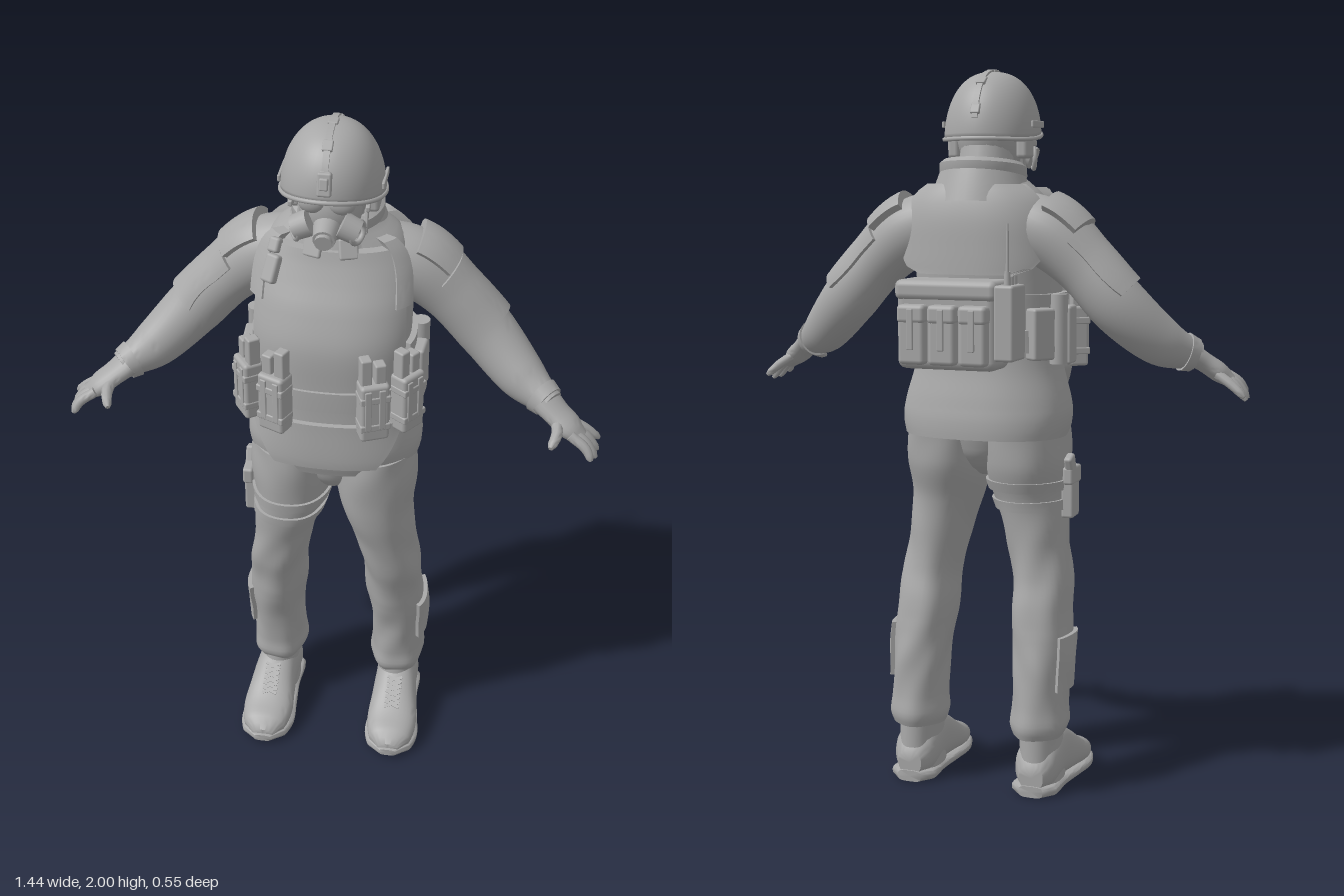
import * as THREE from 'three';
import { toCreasedNormals } from 'three/addons/utils/BufferGeometryUtils.js';
import { RoundedBoxGeometry } from 'three/addons/geometries/RoundedBoxGeometry.js';

const V = (x, y, z) => new THREE.Vector3(x, y, z);
const sp = (s, p) => Math.sign(s) * Math.abs(s) ** p;

// Smooth lookup in a table of rows whose first column is the key
function lookup(rows, k) {
  let i = 0;
  while (i < rows.length - 2 && k > rows[i + 1][0]) i++;
  const at = j => rows[Math.min(Math.max(j, 0), rows.length - 1)];
  const t = (k - at(i)[0]) / (at(i + 1)[0] - at(i)[0]);
  return at(i).map((b, c) => {
    const a = at(i - 1)[c], d = at(i + 1)[c], e = at(i + 2)[c];
    return b + 0.5 * t * (d - a + t * (2 * a - 5 * b + 4 * d - e + t * (3 * (b - d) + e - a)));
  });
}

// Body surface from rows [y, centreX, halfWidth, frontZ, backZ]; angle 0 is the front
const body = (rows, p = 0.85, wrinkle = 0) => (a, y, off = 0) => {
  const [, cx, hx, zf, zb] = lookup(rows, y);
  const o = off + wrinkle * (Math.sin(y * 24 + 3 * a) * Math.sin(y * 11 - 2 * a) + 0.6 * Math.sin(5 * a + 4 * Math.sin(y * 9)));
  return V(cx + (hx + o) * sp(Math.sin(a), p), y, (zf + zb) / 2 + ((zf - zb) / 2 + o) * sp(Math.cos(a), p));
};

// Limb surface along a curve with rows [t, radius]; angle 0 is the upper side
const limb = (pts, rows, wide = 1) => {
  const curve = new THREE.CatmullRomCurve3(pts.map(p => V(...p)));
  return (a, t, off = 0) => {
    const T = curve.getTangent(t), N = V(0, 1, 0).addScaledVector(T, -T.y).normalize(), B = T.clone().cross(N);
    const r = lookup(rows, t)[1] + off;
    return curve.getPoint(t).addScaledVector(N, r * Math.cos(a)).addScaledVector(B, wide * r * Math.sin(a));
  };
};

// Indexed grid from fn(i, j)
function grid(nu, nv, fn, wrap) {
  const pos = [], idx = [], w = wrap ? nu : nu + 1;
  for (let j = 0; j <= nv; j++) for (let i = 0; i < w; i++) pos.push(...fn(i, j).toArray());
  for (let j = 0; j < nv; j++) for (let i = 0; i < nu; i++) {
    const a = j * w + i, b = j * w + (i + 1) % w;
    idx.push(a, b, b + w, a, b + w, a + w);
  }
  const g = new THREE.BufferGeometry();
  g.setAttribute('position', new THREE.Float32BufferAttribute(pos, 3));
  g.setIndex(idx);
  g.computeVertexNormals();
  return g;
}

// Closed solid: rings with a cap at each end
function solid(S, v0, v1, nv = 24, nu = 32) {
  return toCreasedNormals(grid(nu, nv + 2, (i, j) => {
    const v = v0 + (v1 - v0) * Math.min(Math.max(j - 1, 0), nv) / nv;
    if (j > 0 && j < nv + 2) return S(i / nu * Math.PI * 2, v);
    return S(0, v).add(S(Math.PI, v)).multiplyScalar(0.5);
  }, true), 0.9);
}

// Raised plate on a surface, its rim folded back onto it
function shell(S, mid, half, v0, v1, off, nu = 20, nv = 10) {
  return toCreasedNormals(grid(nu + 2, nv + 2, (i, j) => {
    const t = Math.min(Math.max(j - 1, 0), nv) / nv, u = Math.min(Math.max(i - 1, 0), nu) / nu * 2 - 1;
    const rim = i === 0 || j === 0 || i === nu + 2 || j === nv + 2;
    return S(mid + u * (half.call ? half(t) : half), v0 + (v1 - v0) * t, rim ? -0.005 : off);
  }), 0.7);
}

function mirrored(geo) {
  const g = geo.clone().applyMatrix4(new THREE.Matrix4().makeScale(-1, 1, 1));
  const n = g.attributes.position.count;
  const src = g.index ? Array.from(g.index.array) : Array.from({ length: n }, (_, i) => i);
  for (let i = 0; i < src.length; i += 3) [src[i], src[i + 1]] = [src[i + 1], src[i]];
  g.setIndex(src);
  return g;
}

const box = (w, h, d, x, y, z, ry = 0, rx = 0, r = 0.008) =>
  new RoundedBoxGeometry(w, h, d, 2, Math.min(r, w / 3, h / 3, d / 3)).rotateX(rx).rotateY(ry).translate(x, y, z);
const ball = (rx, ry, rz, x, y, z) => new THREE.SphereGeometry(1, 28, 18).scale(rx, ry, rz).translate(x, y, z);
const cyl = (r0, r1, h, x, y, z, rx = 0, rz = 0) =>
  new THREE.CylinderGeometry(r0, r1, h, 20).rotateX(rx).rotateZ(rz).translate(x, y, z);

export function createModel() {
  const model = new THREE.Group();
  const grey = new THREE.MeshStandardMaterial({ color: 0xa8a8a8 });
  grey.name = 'plain grey';
  const add = (name, geo) => {
    const m = new THREE.Mesh(geo, grey);
    m.name = name;
    model.add(m);
  };
  const pair = (name, geo) => { add(name + 'Left', geo); add(name + 'Right', mirrored(geo)); };

  // Jacket, belts and body armour
  const torso = body([[1, 0, 0.229, 0.188, -0.143], [1.03, 0, 0.237, 0.198, -0.143], [1.08, 0, 0.237, 0.205, -0.136],
    [1.2, 0, 0.207, 0.2, -0.115], [1.3, 0, 0.2, 0.2, -0.11], [1.42, 0, 0.203, 0.197, -0.115], [1.52, 0, 0.203, 0.164, -0.12],
    [1.6, 0, 0.195, 0.124, -0.122], [1.66, 0, 0.168, 0.1, -0.114], [1.72, 0, 0.1, 0.09, -0.095]]);
  add('jacket', solid(torso, 1, 1.72, 48, 48));
  add('frontPlate', shell(torso, 0, t => 1.06 - 0.14 * t * t, 1.19, 1.66, 0.025, 24, 24));
  add('backPlate', shell((a, y, o) => torso(a, y, o + (o > 0 ? (1.69 - y) * 0.11 : 0)), Math.PI,
    t => 0.5 + 0.65 * Math.min(1, t * 2.2) ** 0.5, 1.45, 1.69, 0.022, 24, 14));
  add('groinFlap', shell(torso, 0, t => 0.45 + 0.4 * Math.min(1, t * 1.2), 1.062, 1.2, 0.04));
  add('belt', shell(torso, Math.PI, Math.PI, 1.24, 1.3, 0.033, 56, 4));
  add('upperWebbing', shell(torso, Math.PI, 1.9, 1.345, 1.395, 0.016, 36, 4));
  pair('vestStrap', shell(torso, 0.95, 0.16, 1.52, 1.68, 0.03, 6));

  // Arms, shoulder plates, gloves
  const arm = limb([[0.1, 1.59, -0.03], [0.2, 1.555, -0.035], [0.3, 1.472, -0.035], [0.4, 1.364, -0.027],
    [0.5, 1.27, 0.027], [0.58, 1.23, 0.086]], [[0, 0.088], [0.2, 0.093], [0.4, 0.08], [0.6, 0.079], [0.8, 0.066], [1, 0.04]], 0.95);
  pair('sleeve', solid(arm, 0, 1, 36));
  pair('upperArmPlate', shell(arm, 0, 1.2, 0.31, 0.57, 0.012));
  pair('shoulderCap', shell(arm, 0, 0.85, 0.16, 0.3, 0.022));
  pair('cuff', shell(arm, Math.PI, Math.PI, 0.93, 0.985, 0.006, 28, 3));
  const digit = (pts, r) => solid(limb(pts, [[0, r], [0.5, r * 0.95], [0.9, r * 0.75], [1, r * 0.4]]), 0, 1, 8, 10);
  pair('palm', solid(limb([[0.565, 1.238, 0.08], [0.6, 1.212, 0.1], [0.635, 1.186, 0.116], [0.668, 1.16, 0.125]],
    [[0, 0.03], [0.35, 0.027], [0.7, 0.027], [1, 0.018]], 1.6), 0, 1, 12, 20));
  [[0.085, 0.072, 0.717, 1.125], [0.11, 0.107, 0.715, 1.112], [0.135, 0.145, 0.712, 1.113], [0.155, 0.18, 0.7, 1.125]]
    .forEach(([z0, z1, x, y], i) => pair('finger' + (i + 1),
      digit([[0.64, 1.183, z0], [0.682, 1.155, (z0 + z1) / 2], [x, y, z1]], 0.0138)));
  pair('thumb', digit([[0.6, 1.205, 0.115], [0.605, 1.192, 0.165], [0.592, 1.175, 0.21]], 0.016));

  // Trousers with shin pockets
  const leg = body([[0.165, 0.18, 0.07, 0.058, -0.127], [0.19, 0.18, 0.08, 0.073, -0.136], [0.24, 0.18, 0.076, 0.068, -0.131],
    [0.33, 0.183, 0.076, 0.077, -0.123], [0.45, 0.176, 0.082, 0.1, -0.11], [0.52, 0.17, 0.082, 0.115, -0.096],
    [0.6, 0.165, 0.081, 0.136, -0.077], [0.7, 0.148, 0.084, 0.155, -0.066], [0.82, 0.125, 0.098, 0.176, -0.075],
    [0.92, 0.117, 0.114, 0.187, -0.102], [1.04, 0.115, 0.114, 0.187, -0.112]], 0.94, 0.0028);
  pair('trouserLeg', solid(leg, 0.165, 1.04, 64, 40));
  pair('shinPocket', shell(leg, Math.PI / 2, 0.65, 0.3, 0.45, 0.012));
  add('trouserSeat', solid(body([[0.885, 0, 0.02, 0.08, -0.01], [0.91, 0, 0.06, 0.12, -0.045], [0.95, 0, 0.1, 0.148, -0.075],
    [1.02, 0, 0.13, 0.165, -0.095]], 1), 0.885, 1.02, 12));

  // Boots with laces over the instep
  const along = (rows, p) => solid(body(rows, p), rows[0][0], rows.at(-1)[0], 24).rotateX(Math.PI / 2);
  pair('bootShaft', solid(body([[0.03, 0.183, 0.06, 0.075, -0.115], [0.1, 0.183, 0.057, 0.072, -0.112], [0.21, 0.18, 0.057, 0.056, -0.11]], 0.92), 0.03, 0.21, 10));
  const foot = [[-0.118, 0.183, 0.035, -0.02, -0.09], [-0.08, 0.183, 0.06, -0.01, -0.14], [0.02, 0.185, 0.062, -0.01, -0.175],
    [0.09, 0.188, 0.068, -0.01, -0.145], [0.16, 0.19, 0.074, -0.01, -0.1], [0.22, 0.191, 0.062, -0.01, -0.078], [0.252, 0.191, 0.03, -0.015, -0.05]];
  pair('bootFoot', along(foot, 0.85));
  pair('bootSole', along([[-0.122, 0.183, 0.035, 0, -0.032], [-0.09, 0.183, 0.066, 0, -0.034], [0, 0.185, 0.064, 0, -0.03],
    [0.1, 0.188, 0.074, 0, -0.03], [0.17, 0.19, 0.08, 0, -0.034], [0.23, 0.191, 0.064, -0.005, -0.036], [0.26, 0.191, 0.025, -0.012, -0.034]], 0.55));
  for (let i = 0; i < 6; i++) for (const tilt of [-0.35, 0.35]) {
    const z = 0.078 + i * 0.013;
    pair('lace' + (i + 1), new THREE.BoxGeometry(0.046, 0.008, 0.008).rotateY(tilt).rotateX(0.6)
      .translate(0.188, -lookup(foot, z)[4] - 0.001, z));
  }

  // Thigh holster on the right leg
  const thigh = (a, y, o) => leg(-a, y, o).multiply(V(-1, 1, 1));
  for (const y of [0.795, 0.85]) add('thighStrap', shell(thigh, Math.PI, Math.PI, y, y + 0.028, 0.008, 36, 3));
  add('holster', box(0.036, 0.14, 0.07, -0.237, 0.84, 0.05, 0.05));
  add('holsterFlap', box(0.03, 0.05, 0.085, -0.242, 0.89, 0.05));
  add('pistolGrip', box(0.024, 0.06, 0.04, -0.245, 0.92, 0.025, 0, -0.4));

  // Belt pouches with magazines
  [[0.128, 0.232, 0.42], [0.21, 0.172, 0.95]].forEach(([x, z, ry], i) => {
    const out = (o, s) => [x + Math.sin(ry) * o + Math.cos(ry) * s, z + Math.cos(ry) * o - Math.sin(ry) * s];
    pair('pouch' + i, box(0.078, 0.17, 0.056, x, 1.267, z, ry, 0, 0.01));
    for (const y of [1.225, 1.31]) {
      const [px, pz] = out(0.004, 0);
      pair('pouchBand', box(0.082, 0.02, 0.054, px, y, pz, ry, 0, 0.004));
    }
    for (const s of [-0.02, 0.018]) {
      const [mx, mz] = out(-0.004, s);
      pair('magazine', box(0.03, 0.09, 0.034, mx, s < 0 ? 1.38 : 1.36, mz, ry, 0, 0.005));
      const [tx, tz] = out(0.028, s);
      pair('pouchTab', box(0.018, 0.12, 0.008, tx, 1.28, tz, ry, 0, 0.003));
    }
  });
  pair('sidePouch', box(0.07, 0.16, 0.045, 0.222, 1.28, 0.05, 1.5));
  pair('sideCanister', cyl(0.024, 0.024, 0.19, 0.222, 1.3, -0.015));
  pair('rearPouch', box(0.07, 0.14, 0.045, 0.19, 1.29, -0.075, 2.2));

  // Back pack with pouches, radio and antenna
  add('packBody', box(0.285, 0.235, 0.122, 0.022, 1.317, -0.176, 0, 0, 0.024));
  add('packLid', box(0.29, 0.055, 0.13, 0.022, 1.412, -0.18, 0, 0, 0.02));
  for (const x of [-0.065, 0.022, 0.109]) {
    add('packPouch', box(0.076, 0.15, 0.05, x, 1.29, -0.242, 0, 0, 0.012));
    add('packPouchFlap', box(0.08, 0.05, 0.052, x, 1.35, -0.245, 0, 0, 0.012));
    add('packStrap', box(0.018, 0.11, 0.008, x, 1.31, -0.27, 0, 0, 0.003));
  }
  add('packRadio', box(0.055, 0.2, 0.1, -0.147, 1.33, -0.2, 0, 0, 0.008));
  for (const z of [-0.175, -0.2]) add('radioKnob', cyl(0.009, 0.009, 0.025, -0.15, 1.44, z));
  add('antennaBase', cyl(0.008, 0.01, 0.04, -0.15, 1.445, -0.225));
  add('antenna', cyl(0.003, 0.005, 0.15, -0.15, 1.515, -0.225));

  // Chest microphone
  add('chestRadio', box(0.04, 0.075, 0.03, -0.15, 1.6, 0.125, -0.5, -0.45));
  add('chestRadioTop', box(0.032, 0.04, 0.026, -0.145, 1.655, 0.1, -0.4, -0.5));

  // Raised collars: outer wall up, inner wall down
  const collar = (prof, cz, rz, lift) => toCreasedNormals(grid(40, prof.length - 1, (i, j) => {
    const a = i / 40 * Math.PI * 2, [r, y] = prof[j];
    return V(r * Math.sin(a), y - lift * Math.cos(a), cz + r * rz * Math.cos(a));
  }, true), 0.7);
  add('armourCollar', collar([[0.15, 1.625], [0.135, 1.67], [0.118, 1.715], [0.108, 1.718], [0.1, 1.7], [0.09, 1.64]], -0.01, 0.95, 0.022));
  add('jacketCollar', collar([[0.1, 1.66], [0.12, 1.712], [0.12, 1.738], [0.108, 1.748], [0.09, 1.74], [0.07, 1.7]], -0.01, 0.95, 0.015));
  pair('collarTab', box(0.05, 0.055, 0.018, 0.045, 1.668, 0.114, 0.3, -0.4));

  // Head and breathing mask
  add('neck', cyl(0.072, 0.085, 0.16, 0, 1.72, 0.015, 0.15));
  add('head', ball(0.095, 0.13, 0.115, 0, 1.83, 0.062));
  add('maskFace', ball(0.08, 0.095, 0.075, 0, 1.79, 0.11));
  add('maskSnout', cyl(0.028, 0.036, 0.06, 0, 1.755, 0.193, Math.PI / 2 + 0.2));
  add('maskValve', cyl(0.022, 0.022, 0.02, 0, 1.748, 0.223, Math.PI / 2 + 0.2));
  pair('maskLens', ball(0.034, 0.028, 0.018, 0.037, 1.825, 0.172));
  pair('maskFilter', cyl(0.035, 0.032, 0.045, 0.058, 1.768, 0.185, 0, Math.PI / 2 - 0.45));
  pair('filterCap', new THREE.TorusGeometry(0.028, 0.007, 8, 20).rotateY(Math.PI / 2 - 0.45).translate(0.078, 1.758, 0.185));
  pair('maskStrap', box(0.012, 0.016, 0.11, 0.092, 1.8, 0.09, 0.1));
  pair('earCup', box(0.034, 0.075, 0.065, 0.1, 1.795, 0.05, 0, 0, 0.014));
  pair('chinStrap', box(0.01, 0.11, 0.018, 0.085, 1.755, 0.075, 0, -0.35, 0.003));

  // Helmet dome with lowered sides, rim and centre ridge
  const rimY = a => 1.829 + 0.018 * Math.cos(a) - 0.015 * Math.sin(a) ** 2;
  const dome = (a, f, o = 0) => {
    const y = rimY(a), r = Math.cos(f) ** 0.82;
    return V((0.132 + o) * r * Math.sin(a), y + (1.992 - y + o) * Math.sin(f), 0.067 + (0.145 + o) * r * Math.cos(a));
  };
  const overTop = (f, o) => dome(f > Math.PI / 2 ? Math.PI : 0, Math.min(f, Math.PI - f), o);
  add('helmet', grid(48, 20, (i, j) => dome(i / 48 * Math.PI * 2, Math.max(j - 1, 0) / 19 * Math.PI / 2, j ? 0 : -0.02), true));
  const rimPts = Array.from({ length: 32 }, (_, i) => dome(i / 32 * Math.PI * 2, 0));
  add('helmetRim', new THREE.TubeGeometry(new THREE.CatmullRomCurve3(rimPts, true), 64, 0.006, 8, true));
  add('helmetRidge', shell((x, f, o) => overTop(f, o).setX(x), 0, 0.008, 0.3, Math.PI - 0.3, 0.005, 2, 32));
  for (let i = 0; i <= 4; i++) {
    const f = 0.45 + i / 4 * (Math.PI - 0.9), p = overTop(f, 0);
    add('ridgeClip', box(0.026, 0.012, 0.03, 0, p.y, p.z, 0, Math.PI / 2 - f, 0.003));
  }
  add('helmetMount', box(0.036, 0.06, 0.02, 0, 1.895, 0.207, 0, -0.25, 0.006));
  add('helmetMountClip', box(0.022, 0.03, 0.018, 0, 1.9, 0.216, 0, -0.25, 0.004));
  pair('helmetRail', box(0.008, 0.018, 0.09, 0.13, 1.85, 0.067));
  return model;
}
